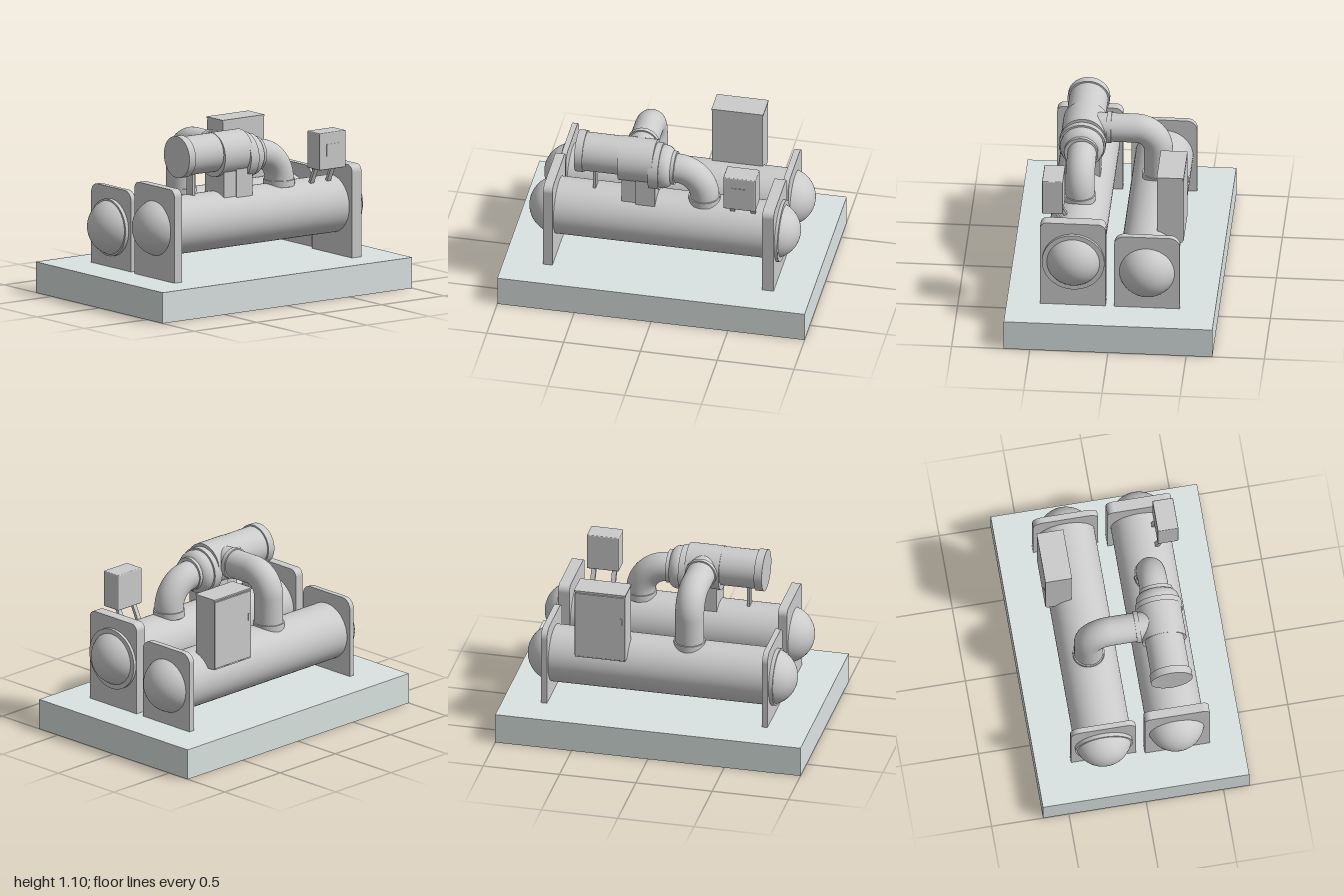
import * as THREE from 'three';
import { RoundedBoxGeometry } from 'three/addons/geometries/RoundedBoxGeometry.js';

const grey = new THREE.MeshStandardMaterial({ color: 0xcccccc });
const paleGrey = new THREE.MeshStandardMaterial({ color: 0xdbe4e2 });

export function createModel() {
  const model = new THREE.Group();

  function add(name, geometry, x = 0, y = 0, z = 0, material = grey) {
    const mesh = new THREE.Mesh(geometry, material);
    mesh.name = name;
    mesh.position.set(x, y, z);
    model.add(mesh);
    return mesh;
  }

  // Box given by its limits on each axis
  function box(name, x0, x1, y0, y1, z0, z1, round = 0, material = grey) {
    const size = [x1 - x0, y1 - y0, z1 - z0];
    const geometry = round ? new RoundedBoxGeometry(...size, 3, round) : new THREE.BoxGeometry(...size);
    return add(name, geometry, (x0 + x1) / 2, (y0 + y1) / 2, (z0 + z1) / 2, material);
  }

  // Cylinder between two points
  function rod(name, a, b, radius, sides = 48) {
    const from = new THREE.Vector3(...a), to = new THREE.Vector3(...b);
    const dir = to.clone().sub(from);
    const mesh = add(name, new THREE.CylinderGeometry(radius, radius, dir.length(), sides));
    mesh.position.copy(from).add(to).multiplyScalar(0.5);
    mesh.quaternion.setFromUnitVectors(new THREE.Vector3(0, 1, 0), dir.normalize());
    return mesh;
  }

  // Pipe with straight runs joined by one quarter bend
  function elbow(name, start, corner, end, bend, radius) {
    const [s, c, e] = [start, corner, end].map(p => new THREE.Vector3(...p));
    const bendStart = c.clone().add(s.clone().sub(c).setLength(bend));
    const bendEnd = c.clone().add(e.clone().sub(c).setLength(bend));
    const k = 0.4477;
    const path = new THREE.CurvePath();
    path.add(new THREE.LineCurve3(s, bendStart));
    path.add(new THREE.CubicBezierCurve3(bendStart, bendStart.clone().lerp(c, 1 - k),
      bendEnd.clone().lerp(c, 1 - k), bendEnd));
    path.add(new THREE.LineCurve3(bendEnd, e));
    return add(name, new THREE.TubeGeometry(path, 64, radius, 40));
  }

  // Tube sheet standing on the base, with rounded top corners
  function endPlate(name, x0, x1, z0, z1, top, r) {
    const w = (z1 - z0) / 2, h = top - 0.2;
    const s = new THREE.Shape();
    s.moveTo(-w, 0);
    s.lineTo(w, 0);
    s.lineTo(w, h - r);
    s.absarc(w - r, h - r, r, 0, Math.PI / 2);
    s.lineTo(-w + r, h);
    s.absarc(-w + r, h - r, r, Math.PI / 2, Math.PI);
    const geometry = new THREE.ExtrudeGeometry(s, { depth: x1 - x0, bevelEnabled: false, curveSegments: 10 });
    add(name, geometry, x0, 0.2, (z0 + z1) / 2).rotation.y = Math.PI / 2;
  }

  // Horizontal tank with domed ends, turned as one capsule
  function tank(name, y, z) {
    const r = 0.185;
    add(name, new THREE.CapsuleGeometry(r, 1.39, 20, 56), 0.005, y, z).rotation.z = Math.PI / 2;
  }

  box('base', -1, 1, 0, 0.2, -0.667, 0.667, 0, paleGrey);

  // Two shells and their supports
  tank('frontTank', 0.525, 0.24);
  tank('backTank', 0.46, -0.23);
  endPlate('frontTankPlate', -0.745, -0.685, 0.035, 0.455, 0.8, 0.045);
  endPlate('frontTankPlate', 0.68, 0.755, 0.035, 0.455, 0.8, 0.045);
  endPlate('backTankPlate', -0.73, -0.695, -0.44, -0.02, 0.72, 0.065);
  endPlate('backTankPlate', 0.715, 0.755, -0.44, -0.02, 0.72, 0.065);
  rod('frontTankFlange', [0.75, 0.525, 0.24], [0.775, 0.525, 0.24], 0.2);
  rod('backTankFlange', [-0.755, 0.46, -0.23], [-0.725, 0.46, -0.23], 0.185);

  // Compressor motor along x
  rod('motorEndCap', [-0.562, 0.965, 0.24], [-0.51, 0.965, 0.24], 0.135);
  rod('motorBody', [-0.51, 0.965, 0.24], [-0.27, 0.965, 0.24], 0.125);
  rod('compressorHousing', [-0.28, 0.948, 0.24], [-0.055, 0.948, 0.24], 0.143);

  // Suction volute, a turned profile of radius and x
  const profile = [[0, -0.08], [0.15, -0.08], [0.15, -0.015], [0.138, -0.015], [0.14, 0.005],
    [0.134, 0.03], [0.12, 0.048], [0.108, 0.055], [0.108, 0.078], [0, 0.078]];
  const points = [];
  profile.forEach(([r, x], i) => {
    points.push(new THREE.Vector2(r, x));
    // doubled corner points keep the steps crisp
    if ([1, 2, 3, 7, 8].includes(i)) points.push(new THREE.Vector2(r, x + 1e-5));
  });
  add('suctionVolute', new THREE.LatheGeometry(points, 56), 0, 0.92, 0.243).rotation.z = -Math.PI / 2;

  // Suction elbow down to the front tank
  elbow('suctionElbow', [0.06, 0.915, 0.237], [0.26, 0.915, 0.237], [0.26, 0.68, 0.237], 0.18, 0.093);
  rod('suctionFlange', [0.26, 0.69, 0.237], [0.26, 0.732, 0.237], 0.101);

  // Discharge elbow over to the back tank
  elbow('dischargeElbow', [-0.17, 0.972, 0.2], [-0.17, 0.972, -0.232], [-0.17, 0.6, -0.232], 0.143, 0.093);
  rod('dischargeFlange', [-0.17, 0.972, 0.065], [-0.17, 0.972, 0.095], 0.102);
  rod('dischargeFootFlange', [-0.17, 0.61, -0.232], [-0.17, 0.658, -0.232], 0.101);

  // Compressor mounts
  box('compressorMount', -0.26, -0.165, 0.66, 0.86, 0.14, 0.34);
  box('compressorMountFront', -0.165, -0.04, 0.66, 0.86, 0.13, 0.35);
  box('motorPost', -0.46, -0.44, 0.69, 0.86, 0.21, 0.27);

  // Small control panel on slanted legs
  box('controlPanel', 0.425, 0.635, 0.795, 1.035, 0.317, 0.45, 0.006);
  box('controlScreen', 0.48, 0.575, 0.88, 0.96, 0.445, 0.453);
  for (const x of [0.46, 0.595]) {
    const leg = box('controlPanelLeg', x - 0.015, x + 0.015, 0.665, 0.815, 0.325, 0.345);
    leg.rotation.x = 0.45;
  }

  // Tall cabinet behind the back tank
  box('cabinet', 0.203, 0.532, 0.56, 1.03, -0.44, -0.278);
  box('cabinetTop', 0.2, 0.537, 1.028, 1.038, -0.448, -0.276);
  box('cabinetDoor', 0.203, 0.532, 0.57, 1.02, -0.448, -0.438, 0.004);
  box('cabinetHandle', 0.222, 0.234, 0.825, 0.87, -0.454, -0.446);

  return model;
}
